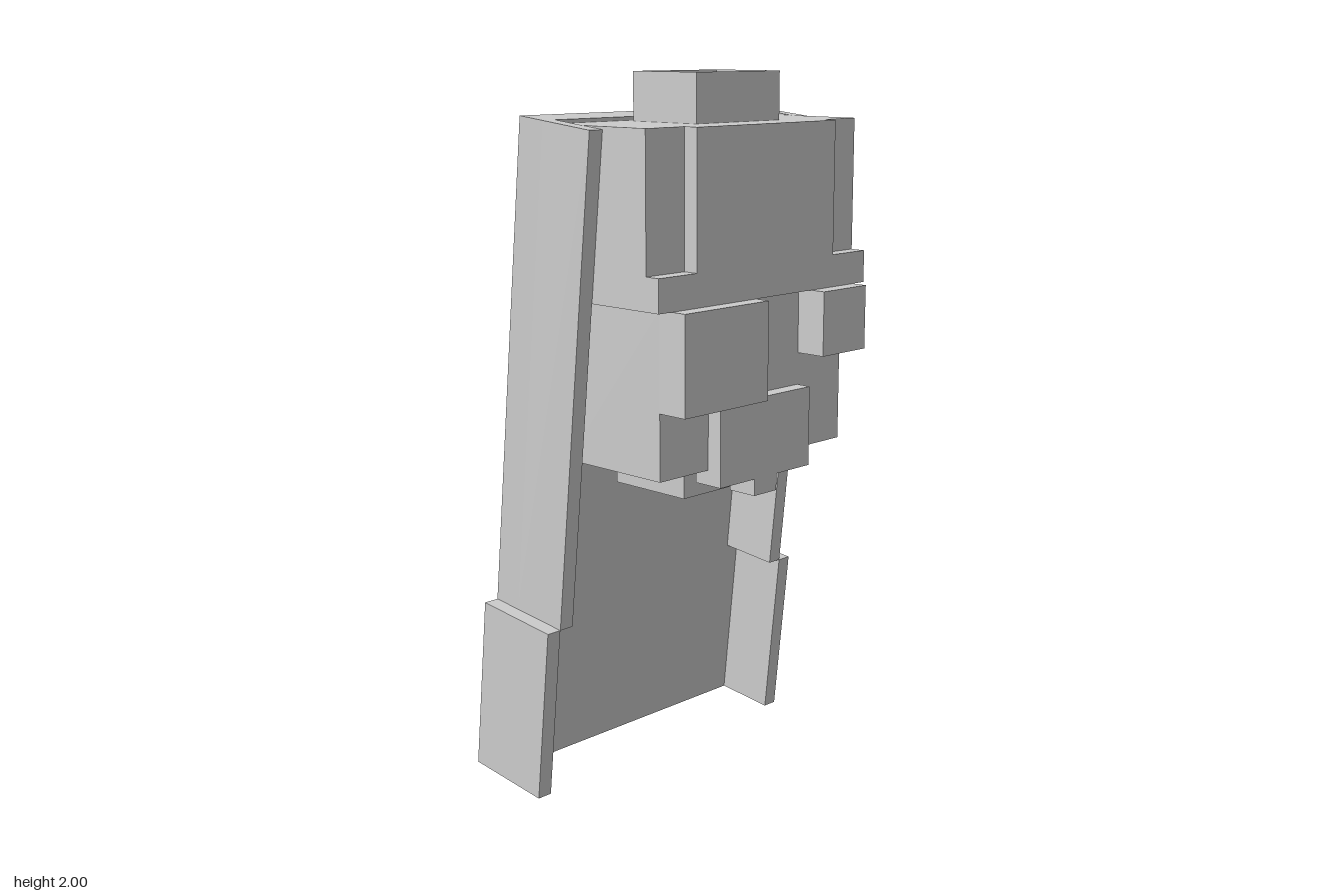
import * as THREE from 'three';

const material = new THREE.MeshStandardMaterial({ color: 0xcccccc, flatShading: true });
const thin = new THREE.MeshStandardMaterial({ color: 0xcccccc, flatShading: true, side: THREE.DoubleSide });

// Axis-aligned block given by its minimum and maximum on each axis
function block(parent, name, [x0, x1], [y0, y1], [z0, z1]) {
  const mesh = new THREE.Mesh(new THREE.BoxGeometry(x1 - x0, y1 - y0, z1 - z0), material);
  mesh.position.set((x0 + x1) / 2, (y0 + y1) / 2, (z0 + z1) / 2);
  mesh.name = name;
  parent.add(mesh);
  return mesh;
}

// Leaning shell: back panel with side walls, wider at the foot
function createShell() {
  const shell = new THREE.Group();
  shell.name = 'shell';
  const height = 1.87, flare = 0.503, depth = 0.27, panel = 0.09;
  block(shell, 'backPanelLower', [-0.5, 0.5], [0, flare], [-depth, panel - depth]);
  block(shell, 'backPanelUpper', [-0.455, 0.455], [flare, height], [-depth, panel - depth]);
  for (const s of [-1, 1]) {
    const span = (a, b) => [Math.min(s * a, s * b), Math.max(s * a, s * b)];
    block(shell, 'sideWallLower', span(0.455, 0.5), [0, flare], [panel - depth, 0]);
    block(shell, 'sideWallUpper', span(0.41, 0.455), [flare, height], [panel - depth, 0]);
  }
  shell.position.set(0, 0, -0.085);
  shell.rotation.x = THREE.MathUtils.degToRad(6);
  return shell;
}

// Open square collar made of four thin sheets
function createCollar() {
  const collar = new THREE.Group();
  collar.name = 'collar';
  const w = 0.325, d = 0.235, h = 0.135;
  for (let i = 0; i < 4; i++) {
    const acrossX = i % 2 === 0;
    const sheet = new THREE.Mesh(new THREE.PlaneGeometry(acrossX ? w : d, h), thin);
    const angle = i * Math.PI / 2;
    sheet.rotation.y = angle;
    sheet.position.set(Math.sin(angle) * w / 2, 0, Math.cos(angle) * d / 2);
    sheet.name = 'collarSheet';
    collar.add(sheet);
  }
  collar.position.set(0, 1.9325, 0.084);
  return collar;
}

export function createModel() {
  const model = new THREE.Group();
  model.name = 'model';
  const back = -0.09;
  model.add(createShell(), createCollar());

  // Upper head with notched front corners
  const head = new THREE.Group();
  head.name = 'head';
  model.add(head);
  block(head, 'upperHead', [-0.41, 0.41], [1.41, 1.868], [back, 0.265]);
  block(head, 'forehead', [-0.272, 0.272], [1.5, 1.868], [0.265, 0.31]);
  block(head, 'brow', [-0.41, 0.41], [1.41, 1.5], [0.265, 0.31]);

  // Face with uneven eye blocks
  block(head, 'face', [-0.363, 0.363], [0.957, 1.41], [back, 0.265]);
  block(head, 'largeEyeBlock', [-0.363, -0.046], [1.14, 1.41], [0.265, 0.356]);
  block(head, 'smallEyeBlock', [0.181, 0.363], [1.23, 1.41], [0.265, 0.356]);
  block(head, 'earBlock', [0.363, 0.409], [1.047, 1.323], [back, 0.218]);

  // Jaw, chin and neck
  block(head, 'jaw', [-0.181, 0.181], [0.915, 1.14], [0.22, 0.31]);
  block(head, 'chin', [-0.045, 0.045], [0.868, 0.915], [0.22, 0.31]);
  block(head, 'neck', [-0.181, 0.181], [0.86, 0.957], [back, 0.174]);
  return model;
}
